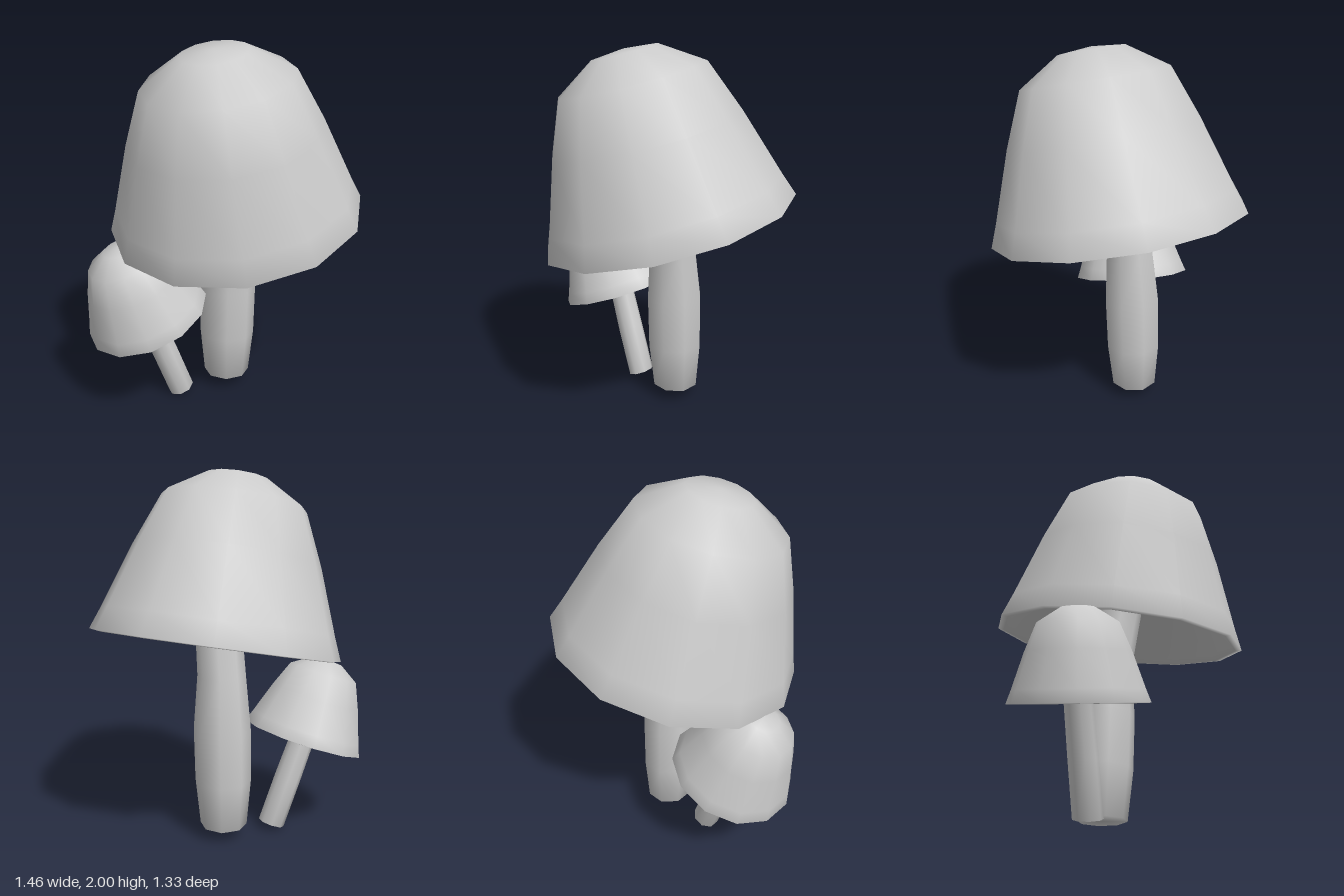
import * as THREE from 'three';
import { mergeVertices } from 'three/addons/utils/BufferGeometryUtils.js';

const material = new THREE.MeshStandardMaterial({ color: 0xcccccc });
const UP = new THREE.Vector3(0, 1, 0);

// Cap: conical underside from its centre out to the lip, then the outside up to the crown.
const CAP_PROFILE = [
  [0, 0.45], [0.625, 0.03], [0.65, 0], [0.683, 0.005],
  [0.635, 0.13], [0.51, 0.49], [0.393, 0.77], [0.175, 0.908], [0, 0.925],
].map(([r, y]) => new THREE.Vector2(r, y));

// Weld the corners so the shading runs smoothly over the whole surface.
function softMesh(name, source) {
  source.deleteAttribute('normal');
  source.deleteAttribute('uv');
  const geometry = mergeVertices(source);
  geometry.computeVertexNormals();
  const mesh = new THREE.Mesh(geometry, material);
  mesh.name = name;
  return mesh;
}

function makeCap(name, scale, turn) {
  const geometry = new THREE.LatheGeometry(CAP_PROFILE, 12, THREE.MathUtils.degToRad(turn));
  geometry.scale(scale, scale, scale);
  return softMesh(name, geometry);
}

// Stem: a closed eight-sided cylinder whose rings follow [x, y, z, radius] from the base up.
function makeStem(name, rings) {
  const last = rings.length - 1;
  const geometry = new THREE.CylinderGeometry(1, 1, last, 8, last, false, Math.PI / 8);
  const p = geometry.attributes.position;
  for (let i = 0; i < p.count; i++) {
    const [x, y, z, r] = rings[Math.round(p.getY(i) + last / 2)];
    p.setXYZ(i, x + p.getX(i) * r, y, z + p.getZ(i) * r);
  }
  return softMesh(name, geometry);
}

const tilt = (object, x, y, z) =>
  object.quaternion.setFromUnitVectors(UP, new THREE.Vector3(x, y, z).normalize());

export function createModel() {
  const model = new THREE.Group();
  model.name = 'mushrooms';

  // Large mushroom: leaning cap over a bent, slightly swollen stem
  const large = new THREE.Group();
  large.name = 'largeMushroom';
  const largeCap = makeCap('largeCap', 1, 11);
  largeCap.position.set(0.08, 1.07, 0);
  tilt(largeCap, -0.2, 1, 0.16);
  const largeStem = makeStem('largeStem', [
    [0.06, 0.07, -0.08, 0.129],
    [0.06, 0.33, -0.073, 0.154],
    [0.062, 0.62, -0.065, 0.156],
    [0.06, 0.92, -0.05, 0.131],
    [0.06, 1.22, 0.01, 0.125],
    [0.04, 1.58, 0.06, 0.115],
  ]);
  large.add(largeCap, largeStem);

  // Small mushroom: half-size cap on a slim stem, leaning as one
  const small = new THREE.Group();
  small.name = 'smallMushroom';
  const smallStem = makeStem('smallStem', [
    [0, -0.53, 0.04, 0.074],
    [0, -0.25, 0.02, 0.074],
    [0, 0, 0, 0.07],
    [0, 0.28, 0, 0.06],
  ]);
  small.add(makeCap('smallCap', 0.5, 15), smallStem);
  small.position.set(-0.413, 0.52, -0.075);
  tilt(small, -0.343, 0.94, 0.07);

  model.add(large, small);
  return model;
}
